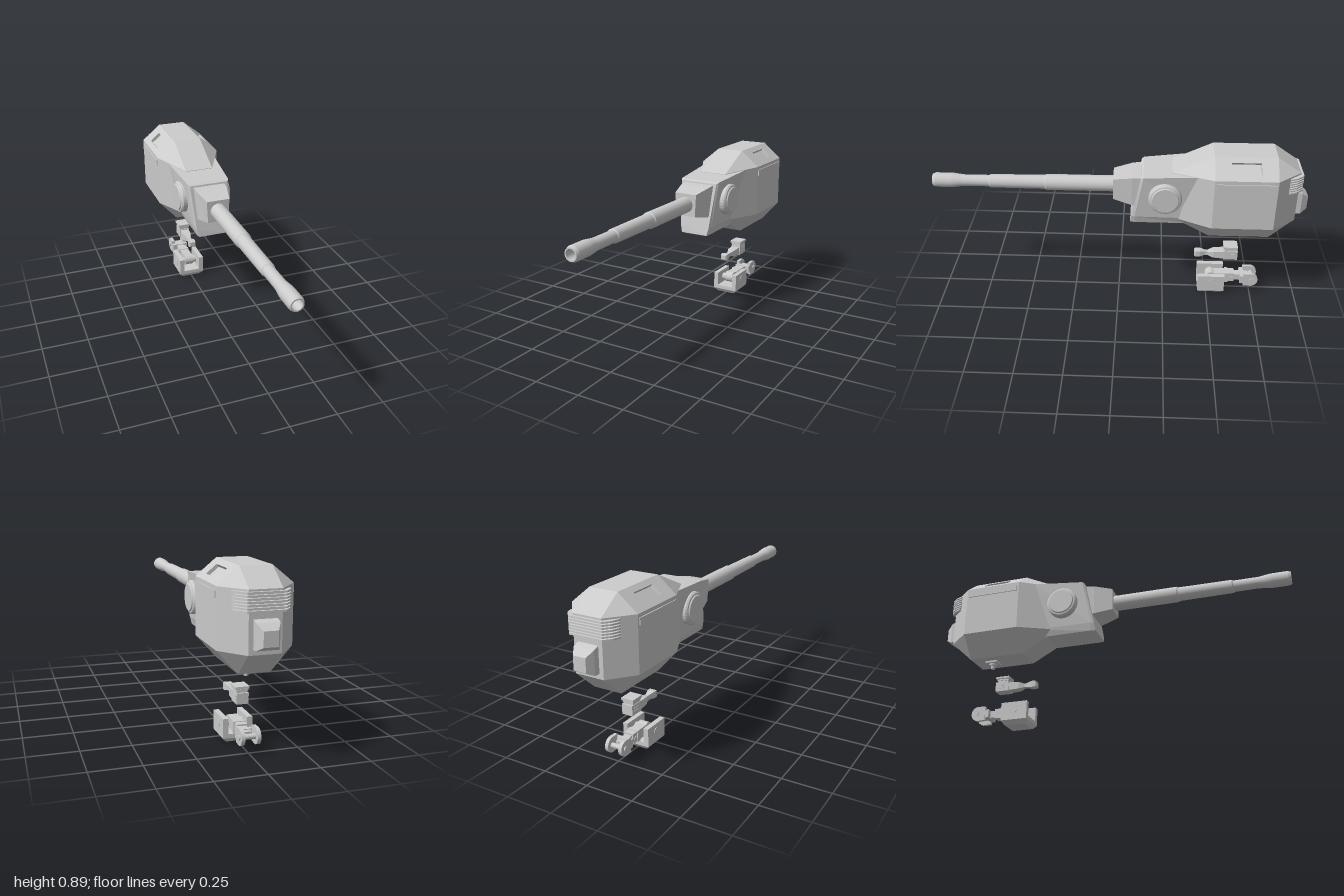
import * as THREE from 'three';

const grey = new THREE.MeshStandardMaterial({ color: 0xcccccc, flatShading: true });
const smooth = new THREE.MeshStandardMaterial({ color: 0xcccccc });

function add(parent, name, geo, pos = [0, 0, 0], rot = [0, 0, 0], mat = grey) {
  const m = new THREE.Mesh(geo, mat);
  m.name = name;
  m.position.set(...pos);
  m.rotation.set(...rot);
  parent.add(m);
  return m;
}

// Box given by its limits along each axis
function block(parent, name, [x0, x1], [y0, y1], [z0, z1]) {
  return add(parent, name, new THREE.BoxGeometry(x1 - x0, y1 - y0, z1 - z0),
    [(x0 + x1) / 2, (y0 + y1) / 2, (z0 + z1) / 2]);
}

// Closed skin over rings ordered back to front, each counter-clockwise seen from +z
function loft(rings, skip = () => false) {
  const n = rings[0].length, pos = [];
  const tri = (...p) => p.forEach(v => pos.push(...v));
  for (let i = 0; i + 1 < rings.length; i++) for (let j = 0; j < n; j++) {
    if (skip(i, j)) continue;
    const k = (j + 1) % n, A = rings[i], B = rings[i + 1];
    tri(A[j], A[k], B[k]);
    tri(A[j], B[k], B[j]);
  }
  const back = rings[0], front = rings[rings.length - 1];
  for (let j = 1; j + 1 < n; j++) {
    tri(back[0], back[j + 1], back[j]);
    tri(front[0], front[j], front[j + 1]);
  }
  const g = new THREE.BufferGeometry();
  g.setAttribute('position', new THREE.Float32BufferAttribute(pos, 3));
  g.computeVertexNormals();
  return g;
}

const octagon = (z, w, t, yb, yl, yh, yt) => [[w, yl, z], [w, yh, z], [t, yt, z], [-t, yt, z],
  [-w, yh, z], [-w, yl, z], [-t, yb, z], [t, yb, z]];
const rect = (z, w, y0, y1) => [[w, y0, z], [w, y1, z], [-w, y1, z], [-w, y0, z]];

function buildHull(g) {
  // Faceted body; the upper side faces are left out for the recessed panels
  add(g, 'hull', loft([
    octagon(-0.935, 0.077, 0.077, 0.52, 0.52, 0.805, 0.805),
    octagon(-0.81, 0.18, 0.077, 0.405, 0.52, 0.805, 0.89),
    octagon(-0.49, 0.18, 0.077, 0.405, 0.52, 0.805, 0.89),
    octagon(-0.28, 0.077, 0.077, 0.52, 0.52, 0.79, 0.79),
  ], (i, j) => i === 1 && (j === 1 || j === 3)));

  const L = Math.hypot(0.103, 0.085);
  for (const s of [1, -1]) {
    // Sloping panel with a shallow rectangular recess
    const shape = new THREE.Shape([[-0.16, 0], [0.16, 0], [0.16, L], [-0.16, L]]
      .map(p => new THREE.Vector2(...p)));
    shape.holes.push(new THREE.Path([[-0.075, 0.034], [-0.075, 0.1], [0.075, 0.1], [0.075, 0.034]]
      .map(p => new THREE.Vector2(...p))));
    const panel = new THREE.Group();
    panel.name = 'roofPanel';
    const X = new THREE.Vector3(0, 0, -s), Y = new THREE.Vector3(-0.103 * s, 0.085, 0).normalize();
    panel.quaternion.setFromRotationMatrix(
      new THREE.Matrix4().makeBasis(X, Y, new THREE.Vector3().crossVectors(X, Y)));
    panel.position.set(0.18 * s, 0.805, -0.65);
    add(panel, 'panelFrame', new THREE.ExtrudeGeometry(shape, { depth: 0.018, bevelEnabled: false }), [0, 0, -0.018]);
    add(panel, 'recessFloor', new THREE.PlaneGeometry(0.152, 0.068), [0, 0.067, -0.017]);
    g.add(panel);

    block(g, 'sideRail', s > 0 ? [0.17, 0.185] : [-0.185, -0.17], [0.752, 0.786], [-0.8, -0.5]);

    // Trunnion cover with bevelled rim
    const cover = [[0, -0.05], [0.087, -0.05], [0.087, 0.024], [0.08, 0.032], [0.072, 0.034],
      [0.068, 0.04], [0, 0.04]].map(p => new THREE.Vector2(...p));
    add(g, 'trunnionCover', new THREE.LatheGeometry(cover, 32), [0.108 * s, 0.66, -0.245], [0, 0, -s * (Math.PI / 2)]);
  }

  // Cooling fins wrapped around the back
  const fin = new THREE.Shape([[-0.135, 0.875], [0.135, 0.875], [0.12, 0.915], [0.09, 0.95],
    [-0.09, 0.95], [-0.12, 0.915]].map(p => new THREE.Vector2(...p)));
  const finGeo = new THREE.ExtrudeGeometry(fin, { depth: 0.008, bevelEnabled: false });
  for (let i = 0; i < 7; i++) add(g, 'coolingFin', finGeo, [0, 0.707 + i * 0.0135, 0], [-Math.PI / 2, 0, 0]);

  // Rear housing
  add(g, 'rearHousing', loft([rect(-1, 0.034, 0.567, 0.638), rect(-0.965, 0.055, 0.546, 0.666),
    rect(-0.92, 0.055, 0.546, 0.683)]));

  // Mounting stud under the body
  block(g, 'studPlate', [-0.033, 0.033], [0.395, 0.407], [-0.74, -0.67]);
  add(g, 'studCollar', new THREE.CylinderGeometry(0.022, 0.022, 0.012, 16), [0, 0.39, -0.705]);
  add(g, 'stud', new THREE.CylinderGeometry(0.015, 0.011, 0.03, 16), [0, 0.38, -0.705]);
}

function buildGun(g) {
  // Wedge-shaped nose with a raked front plate
  const nose = (zt, zm, zb, wt, wm, wb, yt) => [[wb, 0.485, zb], [wm, 0.528, zm], [wt, yt, zt],
    [-wt, yt, zt], [-wm, 0.528, zm], [-wb, 0.485, zb]];
  add(g, 'nose', loft([
    nose(-0.42, -0.42, -0.38, 0.14, 0.1, 0.082, 0.798),
    nose(-0.13, -0.085, -0.09, 0.117, 0.094, 0.082, 0.777),
    nose(-0.118, -0.068, -0.062, 0.108, 0.088, 0.078, 0.77),
  ]));

  // Tapered mantlet
  add(g, 'mantlet', loft([
    [[0.082, 0.587, -0.13], [0.09, 0.762, -0.13], [-0.09, 0.762, -0.13], [-0.082, 0.587, -0.13]],
    [[0.08, 0.59, -0.07], [0.086, 0.756, -0.07], [-0.086, 0.756, -0.07], [-0.08, 0.59, -0.07]],
    [[0.057, 0.612, 0.03], [0.064, 0.735, 0.03], [-0.064, 0.735, 0.03], [-0.057, 0.612, 0.03]],
  ]));

  // Stepped barrel with an open bore; each profile run is one band
  const runs = [
    [[0.043, 0], [0.043, 0.388]], [[0.043, 0.388], [0.038, 0.395]],
    [[0.038, 0.395], [0.036, 0.69]], [[0.036, 0.69], [0.031, 0.696]],
    [[0.031, 0.696], [0.031, 0.83], [0.034, 0.855], [0.038, 0.885], [0.039, 0.9], [0.039, 0.985]],
    [[0.039, 0.985], [0.033, 1]], [[0.033, 1], [0.026, 1]],
    [[0.026, 1], [0.026, 0.9]], [[0.026, 0.9], [0, 0.9]],
  ];
  for (const r of runs) {
    add(g, 'barrel', new THREE.LatheGeometry(r.map(p => new THREE.Vector2(...p)), 32),
      [0, 0.675, 0], [Math.PI / 2, 0, 0], smooth);
  }
}

function buildLink(g) {
  // Small connecting link: block, taper, neck and square tip
  const sq = (z, w, h) => rect(z, w, 0.238 - h, 0.238 + h);
  block(g, 'linkBlock', [-0.03, 0.03], [0.212, 0.266], [-0.665, -0.588]);
  add(g, 'linkArm', loft([sq(-0.59, 0.026, 0.023), sq(-0.53, 0.023, 0.02), sq(-0.5, 0.011, 0.011),
    sq(-0.485, 0.011, 0.011), sq(-0.455, 0.02, 0.018), sq(-0.432, 0.02, 0.018), sq(-0.425, 0.015, 0.013)]));
  for (const s of [-1, 1]) for (const y of [0.232, 0.248]) {
    block(g, 'linkRib', [s * 0.03 - 0.002, s * 0.03 + 0.002], [y - 0.003, y + 0.003], [-0.645, -0.61]);
  }
  block(g, 'linkNeck', [-0.027, 0.027], [0.262, 0.276], [-0.655, -0.593]);
  block(g, 'linkCollar', [-0.03, 0.03], [0.274, 0.284], [-0.658, -0.59]);
  block(g, 'linkCap', [-0.035, 0.035], [0.286, 0.297], [-0.663, -0.585]);
  block(g, 'linkCapCore', [-0.025, 0.025], [0.28, 0.29], [-0.65, -0.6]);
}

function buildBracket(g) {
  // U-shaped bracket with chamfered foot
  const u = (z, lift) => [[0.053, lift], [0.075, 0.022], [0.075, 0.122], [0.048, 0.122], [0.048, 0.043],
    [-0.048, 0.043], [-0.048, 0.122], [-0.075, 0.122], [-0.075, 0.022], [-0.053, lift]].map(p => [...p, z]);
  const shape = new THREE.Shape(u(0, 0.022).slice(1, 9).map(p => new THREE.Vector2(p[0], p[1])));
  add(g, 'bracket', new THREE.ExtrudeGeometry(shape, { depth: 0.15, bevelEnabled: false }), [0, 0, -0.6]);
  const foot = (y, w, z0, z1) => [[w, y, z1], [w, y, z0], [-w, y, z0], [-w, y, z1]];
  add(g, 'bracketFoot', loft([foot(0, 0.053, -0.583, -0.465), foot(0.022, 0.075, -0.6, -0.45)]));

  // Cross pin, arm and its side details
  const across = [0, 0, Math.PI / 2];
  add(g, 'crossPin', new THREE.CylinderGeometry(0.021, 0.021, 0.156, 24), [0, 0.08, -0.525], across);
  add(g, 'pinSleeve', new THREE.CylinderGeometry(0.032, 0.032, 0.05, 24), [0, 0.083, -0.525], across);
  block(g, 'arm', [-0.026, 0.026], [0.056, 0.11], [-0.66, -0.53]);
  block(g, 'armNeck', [-0.02, 0.02], [0.064, 0.102], [-0.74, -0.65]);
  block(g, 'armCollar', [-0.03, 0.03], [0.053, 0.113], [-0.625, -0.605]);
  block(g, 'clevisBridge', [-0.046, 0.046], [0.06, 0.106], [-0.715, -0.69]);
  for (const s of [-1, 1]) {
    block(g, 'armRib', [s * 0.027 - 0.003, s * 0.027 + 0.003], [0.076, 0.09], [-0.65, -0.637]);
  }

  // Rounded clevis ears with a pin
  const ear = new THREE.Shape();
  ear.moveTo(0.71, 0.045);
  ear.lineTo(0.75, 0.043);
  ear.absarc(0.75, 0.084, 0.041, -Math.PI / 2, Math.PI / 2, false);
  ear.lineTo(0.71, 0.123);
  const earGeo = new THREE.ExtrudeGeometry(ear, { depth: 0.018, bevelEnabled: false, curveSegments: 16 });
  for (const x of [-0.048, 0.03]) add(g, 'clevisEar', earGeo, [x + 0, 0, 0], [0, Math.PI / 2, 0]);
  add(g, 'clevisPin', new THREE.CylinderGeometry(0.013, 0.013, 0.108, 16), [0, 0.084, -0.757], across);
}

export function createModel() {
  const model = new THREE.Group();
  const parts = { hull: buildHull, gun: buildGun, link: buildLink, bracket: buildBracket };
  for (const [name, build] of Object.entries(parts)) {
    const g = new THREE.Group();
    g.name = name + 'Assembly';
    build(g);
    model.add(g);
  }
  return model;
}
